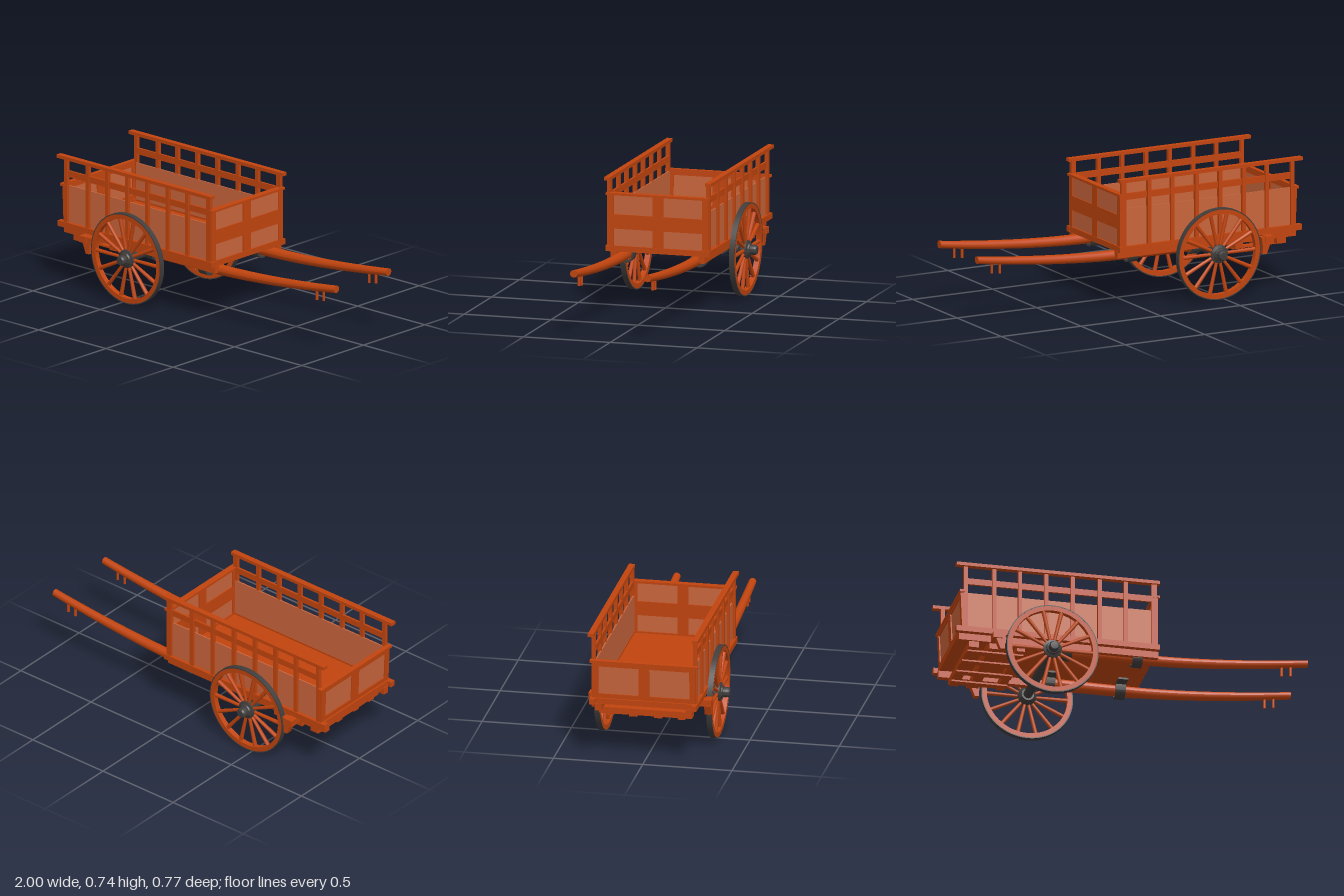
import * as THREE from 'three';
import { toCreasedNormals } from 'three/addons/utils/BufferGeometryUtils.js';

const material = (name, color) => {
  const m = new THREE.MeshStandardMaterial({ color });
  m.name = name;
  return m;
};

export function createModel() {
  const wood = material('orange wood', 0xc1440e);
  const panelWood = material('pale panel wood', 0xc8653c);
  const iron = material('dark iron', 0x403d3c);
  const cart = new THREE.Group();
  cart.name = 'handCart';

  const add = (name, geometry, mat, parent = cart) => {
    const mesh = new THREE.Mesh(geometry, mat);
    mesh.name = name;
    parent.add(mesh);
    return mesh;
  };
  // Box given by its limits on each axis
  const box = (name, x0, x1, y0, y1, z0, z1, mat = wood, parent = cart) => {
    const mesh = add(name, new THREE.BoxGeometry(x1 - x0, y1 - y0, z1 - z0), mat, parent);
    mesh.position.set((x0 + x1) / 2, (y0 + y1) / 2, (z0 + z1) / 2);
    return mesh;
  };
  // Same box on both sides of the cart
  const pair = (name, x0, x1, y0, y1, z0, z1, mat = wood) => {
    box(name, x0, x1, y0, y1, z0, z1, mat);
    box(name, x0, x1, y0, y1, -z1, -z0, mat);
  };

  // Bed and underframe
  box('floor', -0.96, 0.135, 0.33, 0.35, -0.275, 0.275);
  box('frontSill', 0.115, 0.14, 0.328, 0.36, -0.295, 0.295);
  box('rearSill', -0.975, -0.94, 0.328, 0.36, -0.295, 0.295);
  pair('sideSill', -1, 0.145, 0.328, 0.36, 0.27, 0.3);
  pair('underBeam', -0.98, 0.143, 0.29, 0.33, 0.235, 0.27);

  // Slatted side walls
  pair('sidePanel', -0.94, 0.125, 0.355, 0.57, 0.272, 0.28, panelWood);
  pair('middleRail', -0.945, 0.125, 0.62, 0.656, 0.274, 0.286);
  pair('topRail', -1, 0.145, 0.722, 0.741, 0.275, 0.308);
  [-0.945, -0.785, -0.64, -0.492, -0.343, -0.192, -0.045].forEach((x) =>
    pair('sidePost', x - 0.011, x + 0.011, 0.35, 0.73, 0.274, 0.295));
  pair('frontPost', 0.1, 0.13, 0.35, 0.73, 0.274, 0.295);

  // Framed end boards: a pale panel with bars on both faces
  const endBoard = (name, x, top, rails) => {
    const g = new THREE.Group();
    g.name = name;
    g.position.set(x, 0.355, 0);
    cart.add(g);
    const h = top - 0.355;
    box('endPanel', -0.004, 0.004, 0, h, -0.27, 0.27, panelWood, g);
    [[-0.29, -0.255], [-0.03, 0.03], [0.255, 0.29]].forEach(([a, b]) =>
      box('endStile', -0.011, 0.011, 0, h, a, b, wood, g));
    rails.forEach(([a, b]) =>
      box('endRail', -0.0105, 0.0105, a - 0.355, b - 0.355, -0.27, 0.27, wood, g));
    return g;
  };
  endBoard('frontBoard', 0.126, 0.645, [[0.455, 0.535]]);
  box('frontCap', 0.108, 0.145, 0.643, 0.656, -0.298, 0.298);
  const tail = endBoard('tailBoard', -0.955, 0.57, [[0.355, 0.385], [0.545, 0.57]]);
  tail.rotation.z = 0.04;
  box('tailCap', -0.016, 0.012, 0.21, 0.225, -0.303, 0.303, wood, tail);

  // Curved tapering shafts with pegs
  const shaftY = (x) => 0.298 + 0.072 * Math.pow(Math.max(0, (x - 0.1) / 0.9), 1.7);
  [-1, 1].forEach((s) => {
    const geo = new THREE.CylinderGeometry(0.021, 0.035, 1.39, 20, 24);
    geo.rotateZ(-Math.PI / 2).translate(0.3, 0, 0);
    const p = geo.attributes.position;
    for (let i = 0; i < p.count; i++) p.setY(i, p.getY(i) + shaftY(p.getX(i)));
    geo.computeVertexNormals();
    add('shaft', geo, wood).position.z = s * 0.212;
    [0.85, 0.9].forEach((x) =>
      add('shaftPeg', new THREE.CylinderGeometry(0.008, 0.008, 0.065, 10), wood)
        .position.set(x, shaftY(x) - 0.04, s * 0.212));

    // Iron straps hooked under each shaft
    const strap = new THREE.Shape();
    strap.moveTo(-0.112, 0.033).lineTo(-0.112, 0.022).lineTo(-0.047, 0.022).lineTo(-0.047, 0);
    strap.absarc(0, 0, 0.047, Math.PI, Math.PI * 2, false);
    strap.lineTo(0.047, 0.033).lineTo(0.037, 0.033).lineTo(0.037, 0);
    strap.absarc(0, 0, 0.037, Math.PI * 2, Math.PI, true);
    strap.lineTo(-0.037, 0.033).closePath();
    [0.032, -0.365].forEach((x) => {
      const g = new THREE.ExtrudeGeometry(strap, { depth: 0.055, bevelEnabled: false, curveSegments: 16 });
      g.translate(0, 0, -0.0275).rotateY(s > 0 ? -Math.PI / 2 : Math.PI / 2);
      add('shaftStrap', toCreasedNormals(g, 0.6), iron).position.set(x, 0.297, s * 0.212);
    });
  });

  // Axle with rounded caps
  const axleX = -0.465, axleY = 0.26;
  const axle = add('axle', new THREE.CylinderGeometry(0.025, 0.025, 0.68, 24), iron);
  axle.rotation.x = Math.PI / 2;
  axle.position.set(axleX, axleY, 0);

  // Wheels, slightly cambered
  const ring = (outer, inner, depth) => {
    const shape = new THREE.Shape().absarc(0, 0, outer, 0, Math.PI * 2, false);
    shape.holes.push(new THREE.Path().absarc(0, 0, inner, 0, Math.PI * 2, true));
    const g = new THREE.ExtrudeGeometry(shape, { depth, bevelEnabled: false, curveSegments: 48 });
    return toCreasedNormals(g.translate(0, 0, -depth / 2), 0.6);
  };
  const hubProfile = [[0, -0.034], [0.035, -0.034], [0.052, -0.014], [0.052, 0.014], [0.038, 0.02],
    [0.034, 0.028], [0.028, 0.03], [0.028, 0.056], [0.022, 0.065], [0, 0.067]]
    .map(([r, y]) => new THREE.Vector2(r, y));
  [-1, 1].forEach((s) => {
    const wheel = new THREE.Group();
    wheel.name = 'wheel';
    wheel.position.set(axleX, 0.2585, s * 0.316);
    wheel.rotation.x = s * 0.02;
    cart.add(wheel);
    add('tyre', ring(0.2585, 0.253, 0.031), iron, wheel);
    add('rim', ring(0.2535, 0.227, 0.03), wood, wheel);
    const hub = toCreasedNormals(new THREE.LatheGeometry(hubProfile, 28), 0.6);
    add('hub', hub, iron, wheel).rotation.x = s * Math.PI / 2;
    for (let i = 0; i < 14; i++) {
      const spoke = new THREE.CylinderGeometry(0.012, 0.009, 0.19, 8).translate(0, 0.136, 0);
      add('spoke', spoke, wood, wheel).rotation.z = ((i + 0.5) / 14) * Math.PI * 2;
    }
  });

  // Brake beam with shoes behind the wheels
  box('brakeBeam', -0.8, -0.75, 0.288, 0.325, -0.343, 0.343);
  [-1, 1].forEach((s) => {
    const shoe = new THREE.Shape();
    shoe.moveTo(-0.045, 0.06).lineTo(-0.045, 0.03).lineTo(-0.02, -0.035).lineTo(0.004, -0.035);
    shoe.quadraticCurveTo(0.003, 0.015, 0.014, 0.06).closePath();
    const g = new THREE.ExtrudeGeometry(shoe, { depth: 0.036, bevelEnabled: false });
    add('brakeShoe', g.translate(0, 0, -0.018), wood).position.set(-0.74, 0.262, s * 0.317);
  });

  // Slatted rack under the rear of the bed
  [[-0.92, -0.865], [-0.805, -0.75], [-0.65, -0.605]].forEach(([a, b]) =>
    box('rackCrossbar', a, b, 0.255, 0.291, -0.26, 0.26));
  [-0.2, -0.07, 0.07, 0.2].forEach((z) =>
    box('rackSlat', -0.92, -0.605, 0.246, 0.256, z - 0.022, z + 0.022));

  return cart;
}
